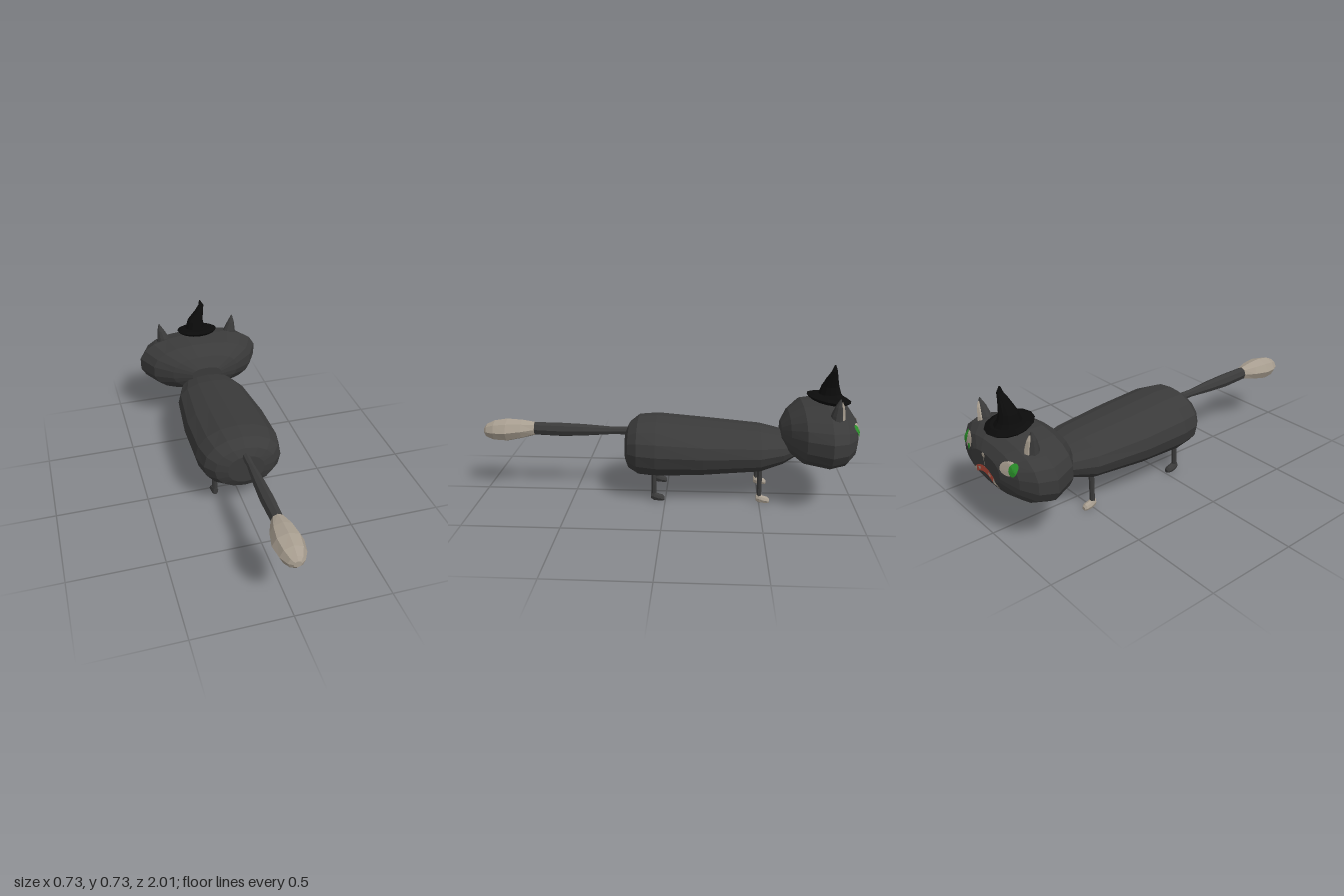
import * as THREE from 'three';

const mat = (name, color, side = THREE.FrontSide) => {
  const m = new THREE.MeshStandardMaterial({ color, side });
  m.name = name;
  return m;
};

// Faceted geometry: every triangle gets its own normal
function facet(pos, idx) {
  const g = new THREE.BufferGeometry();
  g.setAttribute('position', new THREE.Float32BufferAttribute(pos, 3));
  g.setIndex(idx);
  const flat = g.toNonIndexed();
  flat.computeVertexNormals();
  return flat;
}

// Closed skin over oval rings [t, c1, c2, r1, r2], with t rising along the axis.
// Axis z: c1,c2 = x,y.  Axis y: c1,c2 = x,z.  power > 2 makes boxier ovals.
function loft(axis, rings, sides, power = 2, phase = 0) {
  const pos = [], idx = [], n = rings.length;
  const put = (t, a, b) => (axis === 'z' ? pos.push(a, b, t) : pos.push(a, t, b));
  const bend = (v) => Math.sign(v) * Math.abs(v) ** (2 / power);
  for (const [t, c1, c2, r1, r2] of rings) {
    for (let j = 0; j < sides; j++) {
      const a = ((j + phase) / sides) * Math.PI * 2;
      const c = bend(Math.cos(a)), s = bend(Math.sin(a));
      if (axis === 'z') put(t, c1 + r1 * c, c2 + r2 * s);
      else put(t, c1 + r1 * s, c2 + r2 * c);
    }
  }
  for (let i = 0; i < n - 1; i++) {
    for (let j = 0; j < sides; j++) {
      const k = (j + 1) % sides;
      const a = i * sides + j, b = i * sides + k;
      idx.push(a, b, b + sides, a, b + sides, a + sides);
    }
  }
  const first = rings[0], last = rings[n - 1], lo = n * sides;
  put(first[0], first[1], first[2]);
  put(last[0], last[1], last[2]);
  for (let j = 0; j < sides; j++) {
    const k = (j + 1) % sides, top = (n - 1) * sides;
    idx.push(lo, k, j, lo + 1, top + j, top + k);
  }
  return facet(pos, idx);
}

export function createModel() {
  const cat = new THREE.Group();
  cat.name = 'cat';
  const fur = mat('dark fur', 0x3a3a3a);
  const cream = mat('cream', 0xa89e90, THREE.DoubleSide);
  const black = mat('hat black', 0x0b0b0b);
  const green = mat('eye green', 0x2a8f2a, THREE.DoubleSide);
  const red = mat('mouth red', 0xb84a3a, THREE.DoubleSide);

  const add = (name, geometry, material, parent = cat) => {
    const m = new THREE.Mesh(geometry, material);
    m.name = name;
    parent.add(m);
    return m;
  };

  // Body
  add('body', loft('z', [
    [-0.70, 0, 0.29, 0.10, 0.05], [-0.62, 0, 0.28, 0.16, 0.085], [-0.5, 0, 0.272, 0.205, 0.12],
    [-0.2, 0, 0.273, 0.235, 0.145], [0.05, 0, 0.278, 0.235, 0.162], [0.15, 0, 0.278, 0.212, 0.155],
    [0.2, 0, 0.273, 0.165, 0.122], [0.22, 0, 0.272, 0.1, 0.082],
  ], 16, 2.1), fur);

  // Head
  const head = add('head', loft('z', [
    [-1, 0, 0.38, 0.13, 0.065], [-0.97, 0, 0.378, 0.25, 0.112], [-0.92, 0, 0.375, 0.33, 0.146],
    [-0.84, 0, 0.374, 0.367, 0.16], [-0.72, 0, 0.374, 0.305, 0.148], [-0.65, 0, 0.372, 0.2, 0.1],
    [-0.61, 0, 0.37, 0.09, 0.045],
  ], 20, 2.4, 0.5), fur);

  // Tail and its cream tip
  add('tail', loft('z', [
    [0.18, 0, 0.35, 0.022, 0.022], [0.3, 0, 0.35, 0.02, 0.022], [0.45, 0, 0.35, 0.032, 0.033],
    [0.57, 0, 0.35, 0.037, 0.038], [0.725, 0, 0.354, 0.033, 0.036],
  ], 8), fur);
  add('tailTip', loft('z', [
    [0.72, 0, 0.354, 0.034, 0.037], [0.79, 0, 0.35, 0.063, 0.052], [0.87, 0, 0.344, 0.078, 0.063],
    [0.94, 0, 0.34, 0.066, 0.056], [0.985, 0, 0.338, 0.042, 0.037], [1, 0, 0.338, 0.02, 0.018],
  ], 8), cream);

  // Legs and paws: dark at the tail end, cream at the head end
  const paw = loft('z', [
    [-0.055, 0, 0.014, 0.013, 0.01], [-0.045, 0, 0.018, 0.02, 0.017], [-0.02, 0, 0.022, 0.021, 0.021],
    [0, 0, 0.029, 0.019, 0.026], [0.015, 0, 0.032, 0.014, 0.02],
  ], 8);
  for (const [label, z, top, pawMat] of [['front', -0.5, 0.25, cream], ['hind', 0.06, 0.22, fur]]) {
    for (const side of [-1, 1]) {
      const leg = new THREE.Group();
      leg.name = label + 'Leg';
      leg.position.set(side * 0.132, 0, z);
      add('shin', loft('y', [[0.04, 0, 0, 0.015, 0.013], [top, 0, 0, 0.017, 0.014]], 8, 2, 0.5), fur, leg);
      add('paw', paw, pawMat, leg);
      cat.add(leg);
    }
  }

  // Ears with a cream inner face
  const earRings = [
    [0.48, 0.208, -0.868, 0.042, 0.038], [0.52, 0.21, -0.868, 0.036, 0.034],
    [0.565, 0.221, -0.872, 0.021, 0.022], [0.607, 0.229, -0.878, 0.003, 0.003],
  ];
  for (const side of [-1, 1]) {
    const place = (w, dz) => earRings.map(([y, x, z, rx, rz]) => [y, side * x, z + dz, rx * w, rz * 0.9]);
    add('ear', loft('y', place(1, 0), 10), fur);
    add('innerEar', loft('y', place(0.62, -0.01).slice(0, 3).concat([[0.59, side * 0.226, -0.886, 0.003, 0.004]]), 8), cream);
  }

  // Pointed hat: tilted brim and bent cone
  const hat = new THREE.Group();
  hat.name = 'hat';
  cat.add(hat);
  const brim = add('hatBrim', loft('y', [
    [-0.016, 0, 0, 0.085, 0.085], [-0.008, 0, 0, 0.105, 0.105],
    [0.006, 0, 0, 0.12, 0.12], [0.018, 0, 0, 0.09, 0.09],
  ], 14), black, hat);
  brim.position.set(0, 0.548, -0.855);
  brim.rotation.x = -0.17;
  add('hatCone', loft('y', [
    [0.545, 0, -0.86, 0.08, 0.08], [0.575, -0.009, -0.86, 0.056, 0.06], [0.615, -0.007, -0.86, 0.046, 0.047],
    [0.672, 0.021, -0.866, 0.025, 0.027], [0.702, 0.034, -0.872, 0.016, 0.016], [0.734, 0.028, -0.874, 0.004, 0.004],
  ], 12), black, hat);

  // Painted patches that follow the face: f(u, v) gives x, y
  head.updateMatrixWorld(true);
  const ray = new THREE.Raycaster();
  const onFace = (x, y, lift) => {
    ray.set(new THREE.Vector3(x, y, -3), new THREE.Vector3(0, 0, 1));
    const hit = ray.intersectObject(head)[0];
    return (hit ? hit.point.z : -0.9) - lift;
  };
  const patch = (name, material, f, lift = 0.005, nu = 16, nv = 4) => {
    const pos = [], idx = [];
    for (let i = 0; i <= nu; i++) {
      for (let j = 0; j <= nv; j++) {
        const [x, y] = f(i / nu, j / nv);
        pos.push(x, y, onFace(x, y, lift));
        if (i < nu && j < nv) {
          const a = i * (nv + 1) + j, b = a + nv + 1;
          idx.push(a, b, a + 1, b, b + 1, a + 1);
        }
      }
    }
    add(name, facet(pos, idx), material);
  };
  const oval = (cx, cy, rx, ry, tilt = 0) => (u, v) => {
    const a = u * Math.PI * 2, p = v * rx * Math.cos(a), q = v * ry * Math.sin(a);
    return [cx + p * Math.cos(tilt) - q * Math.sin(tilt), cy + p * Math.sin(tilt) + q * Math.cos(tilt)];
  };

  // Eyes
  for (const side of [-1, 1]) {
    patch('eyeWhite', cream, oval(side * 0.18, 0.437, 0.05, 0.033, side * 0.15));
    patch('iris', green, oval(side * 0.213, 0.44, 0.024, 0.03), 0.008);
  }
  patch('eyeCorner', green, oval(0.15, 0.417, 0.016, 0.016), 0.008);

  // Nose, line below it, and downturned mouth with cream corners
  patch('nose', cream, oval(0, 0.437, 0.014, 0.011));
  patch('noseLine', cream, (u, v) => [(u - 0.5) * 0.004, 0.375 + v * 0.055], 0.004, 1, 4);
  const arch = (x0, x1, half) => (u, v) => {
    const x = x0 + (x1 - x0) * u;
    return [x, 0.362 - 4.5 * x * x + (v - 0.5) * 2 * half];
  };
  patch('mouth', red, arch(-0.085, 0.085, 0.017));
  for (const side of [-1, 1]) {
    patch('mouthCorner', cream, arch(side * 0.075, side * 0.105, 0.015), 0.007, 4);
    patch('tooth', cream, arch(side * 0.035, side * 0.055, 0.007), 0.007, 3);
  }
  return cat;
}
